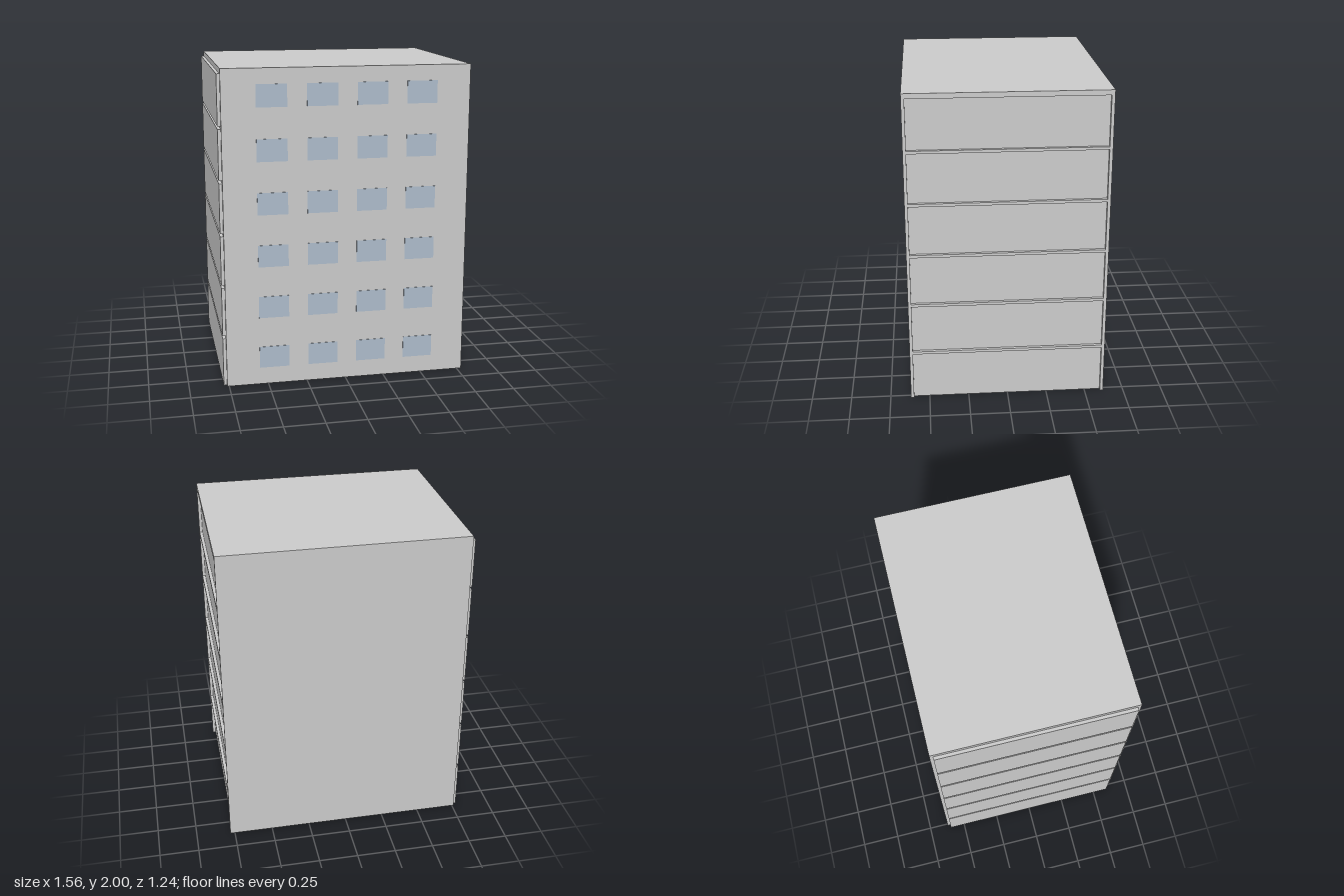
import * as THREE from 'three';

const FLOORS = 6, STEP = 0.331, PANEL_H = 0.313, T = 0.02;

export function createModel() {
  const model = new THREE.Group();
  model.name = 'apartmentBlock';

  const concrete = new THREE.MeshStandardMaterial({ color: 0xcccccc });
  concrete.name = 'pale concrete';
  const glass = new THREE.MeshStandardMaterial({ color: 0xaebccb });
  glass.name = 'blue grey glass';

  // Box given by its lower and upper limits on each axis
  function box(name, material, x0, x1, y0, y1, z0, z1) {
    const mesh = new THREE.Mesh(new THREE.BoxGeometry(x1 - x0, y1 - y0, z1 - z0), material);
    mesh.name = name;
    mesh.position.set((x0 + x1) / 2, (y0 + y1) / 2, (z0 + z1) / 2);
    model.add(mesh);
    return mesh;
  }

  const left = 0.78, right = -0.762, front = 0.62;

  // Full-height front and back walls, joined by the roof
  const roofBase = (FLOORS - 1) * STEP + PANEL_H;
  box('frontWall', concrete, right, left, 0, 2, front - T, front);
  box('backWall', concrete, right, left, 0, 2, -front, -front + T);
  box('roof', concrete, right, left, roofBase, 2, -front + T, front - T);

  const columnGeometry = new THREE.CylinderGeometry(0.02, 0.02, PANEL_H, 12);

  for (let i = 0; i < FLOORS; i++) {
    const y = i * STEP;

    // Side panels: set back on the left, standing proud on the right
    box('leftPanel', concrete, left - 2 * T, left - T, y, y + PANEL_H, -front + T, front - T);
    box('rightPanel', concrete, right - T, right, y, y + PANEL_H, -front + T, front - T);

    // Floor slab above each storey except the top one
    if (i < FLOORS - 1) {
      box('floorSlab', concrete, right, left, y + PANEL_H, y + STEP, -front + T, front - T);
    }

    // Interior columns
    for (const x of [0.08, -0.33]) {
      const column = new THREE.Mesh(columnGeometry, concrete);
      column.name = 'column';
      column.position.set(x, y + PANEL_H / 2, 0.085);
      model.add(column);
    }

    // Thin panes on the front wall
    for (let j = 0; j < 4; j++) {
      const x = -0.553 + j * 0.311;
      box('windowPane', glass, x, x + 0.19, y + 0.11, y + 0.249, front - 0.002, front + 0.003);
    }
  }

  return model;
}
